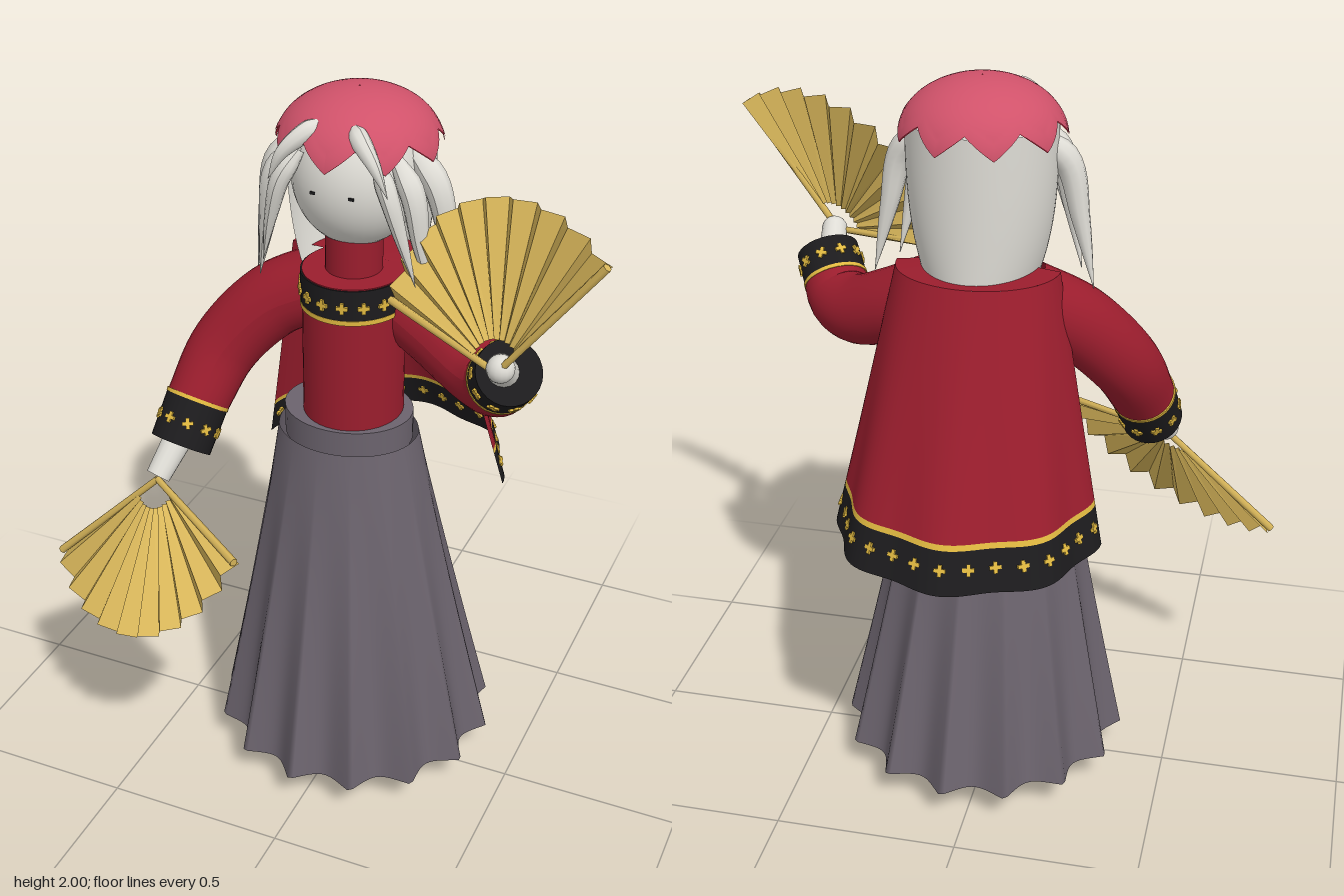
import * as THREE from 'three';
import { mergeGeometries } from 'three/addons/utils/BufferGeometryUtils.js';
import { ParametricGeometry } from 'three/addons/geometries/ParametricGeometry.js';

const V = (x, y, z) => new THREE.Vector3(x, y, z);
const lerp = THREE.MathUtils.lerp;
const CX = 0.02; // body axis

export function createModel() {
  const model = new THREE.Group();
  const mat = (name, color, side = THREE.DoubleSide) =>
    Object.assign(new THREE.MeshStandardMaterial({ color, side }), { name });
  const red = mat('red cloth', 0x9a1d2d);
  const black = mat('black trim', 0x1c1b1d);
  const gold = mat('gold trim', 0xe0b840);
  const brass = mat('fan gold', 0xd8b65a);
  const grey = mat('grey skirt', 0x6b636d);
  const pale = mat('pale skin and hair', 0xdedcd5);
  const pink = mat('pink cap', 0xd0526a, THREE.FrontSide);

  const add = (name, geo, m) => {
    const mesh = new THREE.Mesh(geo, m);
    mesh.name = name;
    model.add(mesh);
    return mesh;
  };

  // Cylinder between two points
  const rod = (name, a, b, ra, rb, m, sides = 24) => {
    const mesh = add(name, new THREE.CylinderGeometry(rb, ra, a.distanceTo(b), sides), m);
    mesh.position.copy(a).lerp(b, 0.5);
    mesh.quaternion.setFromUnitVectors(V(0, 1, 0), b.clone().sub(a).normalize());
  };

  // Tube along a curve whose radius follows a rule
  const taperTube = (name, points, radius, m, sides = 20) => {
    const curve = new THREE.CatmullRomCurve3(points);
    const n = 20;
    const geo = new THREE.TubeGeometry(curve, n, 1, sides);
    const pos = geo.attributes.position;
    const p = V(0, 0, 0);
    for (let i = 0; i <= n; i++) {
      const c = curve.getPointAt(i / n);
      for (let j = 0; j <= sides; j++) {
        const k = i * (sides + 1) + j;
        p.fromBufferAttribute(pos, k).sub(c).multiplyScalar(radius(i / n)).add(c);
        pos.setXYZ(k, p.x, p.y, p.z);
      }
    }
    geo.computeVertexNormals();
    add(name, geo, m);
  };

  // Small embroidered cross lying on a surface
  const crossGeo = mergeGeometries([
    new THREE.BoxGeometry(0.03, 0.01, 0.009), new THREE.BoxGeometry(0.01, 0.03, 0.009)]);
  const cross = (p, n) => {
    const c = add('embroideredCross', crossGeo, gold);
    c.position.copy(p);
    c.lookAt(p.clone().add(n));
  };

  // Upright elliptical drum
  const drum = (name, y0, y1, rx, rz, m, z = 0, x = CX) => {
    const d = add(name, new THREE.CylinderGeometry(1, 1, y1 - y0, 40), m);
    d.position.set(x, (y0 + y1) / 2, z);
    d.scale.set(rx, 1, rz);
  };

  // Pleated skirt, its inner floor and the waistband
  add('skirt', new ParametricGeometry((u, v, t) => {
    const a = u * Math.PI * 2, w = 1 - v;
    const pleat = 1 - Math.abs(Math.sin((a + 0.1) * 7));
    const k = 0.055 * w ** 1.5 * (pleat - 0.4);
    t.set(lerp(0.008, CX, w) + Math.sin(a) * (lerp(0.19, 0.366, w) + k), lerp(0.1, 1.07, v),
      lerp(0.005, -0.025, w) + Math.cos(a) * (lerp(0.16, 0.361, w) + k));
  }, 168, 16), grey);
  drum('skirtFloor', 0.28, 0.285, 0.305, 0.295, grey, -0.02);
  drum('waistband', 1.05, 1.13, 0.174, 0.148, grey, 0.003, 0.008);

  // Torso, collar and neck
  drum('torso', 1.1, 1.535, 0.132, 0.137, red);
  drum('collar', 1.45, 1.532, 0.136, 0.141, black);
  drum('collarLine', 1.437, 1.45, 0.137, 0.142, gold);
  drum('neck', 1.53, 1.64, 0.073, 0.075, red);
  for (let i = 0; i < 16; i++) {
    const a = ((i + 0.5) / 16) * Math.PI * 2, n = V(Math.sin(a), 0, Math.cos(a));
    cross(V(CX + n.x * 0.137, 1.485, n.z * 0.142), n);
  }

  // Flared cape open at the front, with a trimmed hem and a closed shoulder yoke
  const capePoint = (a, v, t) => {
    const w = 1 - v, ripple = 1 + 0.035 * w * Math.cos(8 * (a - Math.PI));
    return t.set(CX + Math.sin(a) * lerp(0.21, 0.342, w) * ripple, 0.84 + 0.69 * v,
      lerp(-0.085, -0.22, w) + Math.cos(a) * lerp(0.165, 0.318, w) * ripple);
  };
  const capeBand = (name, v0, v1, m) => add(name, new ParametricGeometry((u, v, t) =>
    capePoint(Math.PI * (0.5 + u), lerp(v0, v1, v), t), 64, 6), m);
  capeBand('capeHem', 0, 0.15, black);
  capeBand('capeLine', 0.15, 0.17, gold);
  capeBand('cape', 0.17, 1, red);
  add('capeYoke', new ParametricGeometry((u, v, t) =>
    capePoint(Math.PI * (0.5 + u), 1, t).lerp(V(CX, 1.54, -0.05), v * 0.98), 48, 4), red);
  for (let i = 0; i < 15; i++) {
    const a = Math.PI * (0.5 + (i + 0.5) / 15);
    cross(capePoint(a, 0.085, V(0, 0, 0)), V(Math.sin(a), 0.4, Math.cos(a)));
  }

  // Arms: sleeve, trimmed cuff and hand
  const arm = (side, path, cuffEnd, handStart, handEnd) => {
    const wrist = path[path.length - 1];
    const axis = cuffEnd.clone().sub(wrist).normalize();
    taperTube(side + 'Sleeve', path, t => lerp(0.1, 0.084, t * t), red, 28);
    rod(side + 'Cuff', wrist, cuffEnd, 0.085, 0.083, black, 28);
    rod(side + 'CuffLine', wrist.clone().addScaledVector(axis, -0.01), wrist, 0.087, 0.087, gold, 28);
    rod(side + 'Hand', handStart, handEnd, 0.04, 0.033, pale, 16);
    const s = axis.clone().cross(V(0, 0, 1)).normalize();
    const mid = wrist.clone().lerp(cuffEnd, 0.5);
    for (let i = 0; i < 10; i++) {
      const n = s.clone().applyAxisAngle(axis, (i / 10) * Math.PI * 2);
      cross(mid.clone().addScaledVector(n, 0.084), n);
    }
  };
  arm('right', [V(-0.1, 1.44, -0.06), V(-0.225, 1.375, -0.03), V(-0.34, 1.245, 0.03), V(-0.385, 1.11, 0.12)],
    V(-0.402, 1.01, 0.19), V(-0.41, 1.03, 0.18), V(-0.438, 0.94, 0.26));
  arm('left', [V(0.13, 1.44, -0.06), V(0.25, 1.38, -0.03), V(0.37, 1.33, 0.025), V(0.435, 1.335, 0.08), V(0.462, 1.37, 0.12)],
    V(0.498, 1.425, 0.175), V(0.48, 1.41, 0.16), V(0.495, 1.47, 0.235));
  add('leftFist', new THREE.SphereGeometry(0.035, 16, 12), pale).position.set(0.495, 1.465, 0.235);

  // Folding fans: zigzag leaf between two guard sticks
  const fan = (side, pivot, a, b) => {
    const N = 20, pos = [], idx = [];
    const normal = a.clone().cross(b).normalize();
    const dir = a.clone().normalize(), total = a.angleTo(b);
    for (let i = 0; i <= N; i++) {
      const d = dir.clone().applyAxisAngle(normal, total * i / N);
      const R = lerp(a.length(), b.length(), i / N) + 0.008 * Math.sin(Math.PI * i / N);
      const z = i % 2 ? 0.018 : -0.018;
      for (const [r, k] of [[0.08, 0.25], [R, 1]]) {
        const p = pivot.clone().addScaledVector(d, r).addScaledVector(normal, z * k);
        pos.push(p.x, p.y, p.z);
      }
      if (i < N) {
        const q = i * 2;
        idx.push(q, q + 1, q + 3, q, q + 3, q + 2);
      }
    }
    const geo = new THREE.BufferGeometry();
    geo.setAttribute('position', new THREE.Float32BufferAttribute(pos, 3));
    geo.setIndex(idx);
    const flat = geo.toNonIndexed();
    flat.computeVertexNormals();
    add(side + 'FanLeaf', flat, brass);
    for (const e of [a, b]) rod(side + 'FanGuard', pivot, pivot.clone().add(e), 0.009, 0.011, brass, 6);
  };
  fan('right', V(-0.44, 0.93, 0.26), V(-0.305, -0.295, 0.035), V(0.34, -0.03, 0.225));
  fan('left', V(0.49, 1.46, 0.25), V(0.25, 0.335, 0.03), V(-0.337, 0.045, -0.168));

  // Head and long back hair, drawn in towards the nape
  const head = add('head', new THREE.SphereGeometry(1, 36, 24), pale);
  head.position.set(CX, 1.785, -0.02);
  head.scale.set(0.165, 0.185, 0.165);
  add('backHair', new ParametricGeometry((u, v, t) => {
    const a = Math.PI * (0.45 + 1.1 * u);
    t.set(CX + Math.sin(a) * (0.19 - 0.045 * (1 - v) ** 3), lerp(1.5, 1.9, v), -0.035 + Math.cos(a) * 0.188);
  }, 40, 12), pale);
  for (const s of [-1, 1])
    add('eye', new THREE.BoxGeometry(0.014, 0.007, 0.006), black).position.set(CX + s * 0.05, 1.78, 0.137);

  // Cap with a jagged brim and a red lining
  const capShell = (name, inset, m) => add(name, new ParametricGeometry((u, v, t) => {
    const a = u * Math.PI * 2, tooth = Math.abs(((u * 9) % 1) * 2 - 1);
    const phi = lerp(1.22 + 0.4 * tooth, 0.01, v);
    const r = 0.206 * Math.sin(phi) - inset + 0.006 * tooth * Math.max(0, 1 - v * 5);
    t.set(CX + Math.sin(a) * r, 1.86 - inset + 0.14 * Math.cos(phi), -0.03 + Math.cos(a) * r);
  }, 108, 18), m);
  capShell('cap', 0, pink);
  capShell('capLining', 0.002, red);

  // Loose locks, mirrored, tapering to a point
  const locks = [
    [0.038, V(0.14, 1.86, -0.03), V(0.21, 1.79, -0.01), V(0.245, 1.65, -0.015), V(0.285, 1.47, -0.03)],
    [0.034, V(0.13, 1.86, 0.05), V(0.18, 1.79, 0.07), V(0.205, 1.66, 0.07), V(0.24, 1.49, 0.05)],
    [0.027, V(0.1, 1.87, 0.1), V(0.14, 1.8, 0.125), V(0.17, 1.7, 0.12), V(0.205, 1.56, 0.1)],
    [0.027, V(0.04, 1.945, 0.1), V(0.08, 1.92, 0.137), V(0.12, 1.88, 0.16), V(0.155, 1.81, 0.165)],
  ];
  for (const s of [-1, 1])
    for (const [r, ...pts] of locks)
      taperTube('hairLock', pts.map(p => V(CX + s * p.x, p.y, p.z)),
        t => r * Math.max(0.03, Math.min(1, 0.5 + t * 3) * (1 - t ** 1.8)), pale, 10);

  // Feet
  for (const s of [-1, 1]) {
    const foot = add('foot', new THREE.CylinderGeometry(0.03, 0.036, 0.18, 20), pale);
    foot.rotation.x = Math.PI / 2;
    foot.scale.set(1.5, 1, 1);
    foot.position.set(CX + s * 0.15, 0.036, 0.045);
  }
  return model;
}
